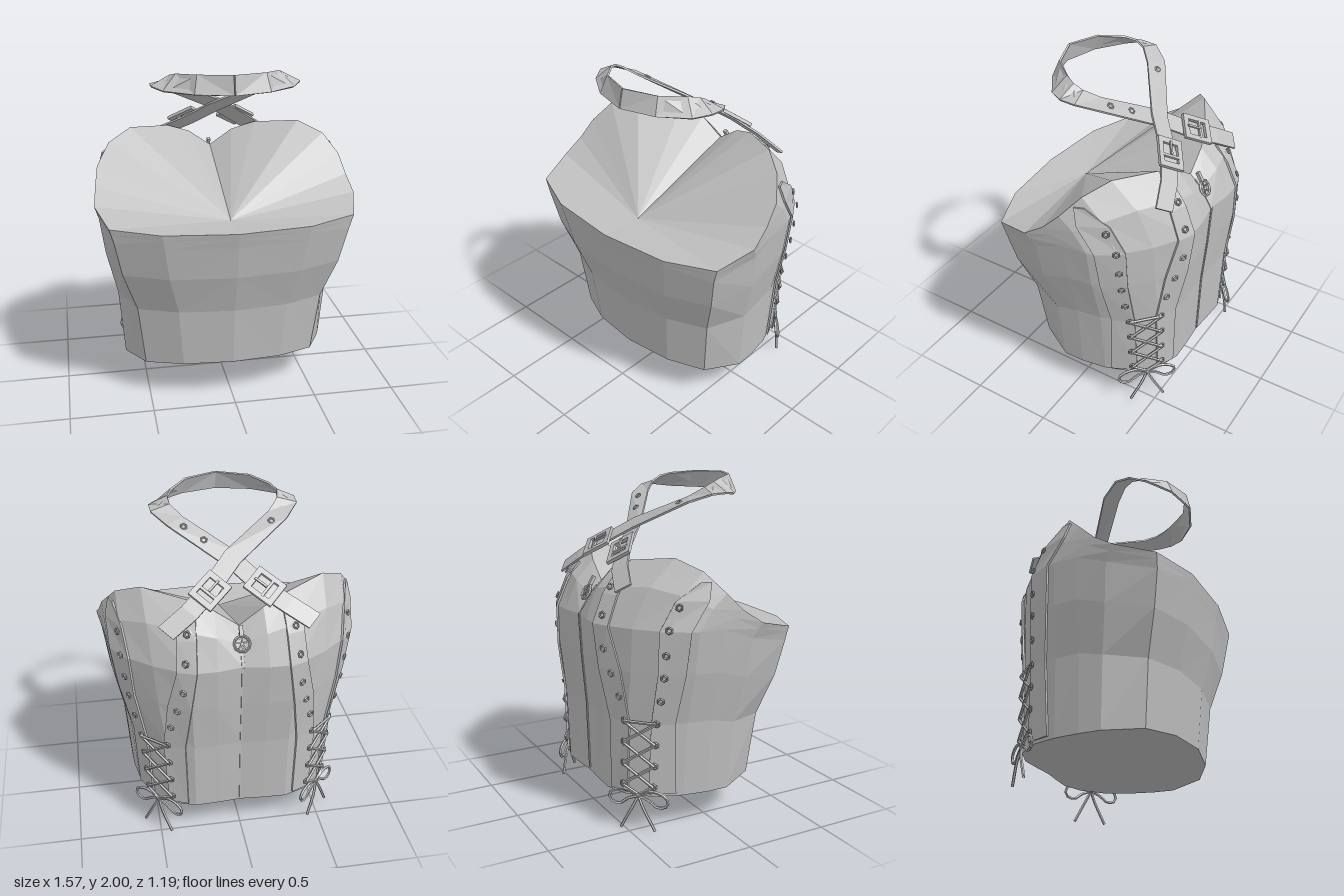
import * as THREE from 'three';
import { mergeGeometries } from 'three/addons/utils/BufferGeometryUtils.js';

const V = (x, y, z) => new THREE.Vector3(x, y, z);
const cloth = new THREE.MeshStandardMaterial({ color: 0xc0c0c0, flatShading: true, side: THREE.DoubleSide });
cloth.name = 'grey cloth';

// Half outlines of the bodice, from the middle of the back round to the middle of the front
const rim = [[0, 1.39, -.42], [.14, 1.49, -.41], [.28, 1.545, -.36], [.53, 1.578, -.22], [.67, 1.515, -.12],
  [.75, 1.4, -.02], [.77, 1.3, .08], [.785, 1.22, .2], [.715, 1.16, .43], [.43, 1.15, .55], [0, 1.145, .59]]
  .map(p => V(...p));
const bust = [[0, -.565], [.15, -.59], [.3, -.59], [.5, -.47], [.66, -.33], [.735, -.18], [.752, -.03],
  [.76, .15], [.69, .425], [.415, .535], [0, .57]].map(([x, z], i) => V(x, Math.min(1.2, rim[i].y - .09), z));
const foot = [[0, -.515], [.14, -.525], [.28, -.53], [.42, -.48], [.54, -.36], [.6, -.2], [.625, -.05],
  [.63, .08], [.52, .29], [.3, .39], [0, .43]].map(([x, z]) => V(x, .2 + .27 * Math.max(0, z) ** 2, z));

// Rings between them: narrow waist, full chest, rounded shoulder
const between = (height, width) => foot.map((f, i) =>
  f.clone().lerp(bust[i], width).setY(THREE.MathUtils.lerp(f.y, bust[i].y, height)));
const shoulder = bust.map((b, i) =>
  b.clone().lerp(rim[i], .6).add(V(0, 0, -.18 * (rim[i].y - b.y - .09))));
const rings = [foot, between(.45, .25), between(.75, .75), bust, shoulder, rim];

function fromTriangles(points) {
  const g = new THREE.BufferGeometry().setFromPoints(points);
  g.computeVertexNormals();
  return g;
}
const quad = (a, b, c, d) => [a, b, c, a, c, d];

// Mirror a geometry across x = 0, keeping its faces outward
function mirrored(geo) {
  const p = geo.attributes.position, pts = [];
  for (let i = 0; i < p.count; i += 3)
    for (const k of [0, 2, 1]) pts.push(V(-p.getX(i + k), p.getY(i + k), p.getZ(i + k)));
  return fromTriangles(pts);
}
function plain(geo) {
  const g = geo.index ? geo.toNonIndexed() : geo;
  g.deleteAttribute('uv');
  g.clearGroups();
  return g;
}
const merge = list => mergeGeometries(list.map(plain));

// Point on the bodice at column u and height y
function onBody(u, y) {
  const c = Math.min(9, Math.floor(u));
  const col = rings.map(r => r[c].clone().lerp(r[c + 1], u - c));
  let k = 0;
  while (k < col.length - 2 && col[k + 1].y < y) k++;
  return col[k].clone().lerp(col[k + 1], (y - col[k].y) / (col[k + 1].y - col[k].y));
}
function normalAt(u, y) {
  const e = .05;
  const du = u === 0 ? V(1, 0, 0) : onBody(u + e, y).sub(onBody(Math.max(0, u - e), y));
  return onBody(u, y + e).sub(onBody(u, y - e)).cross(du).normalize();
}
const above = (u, y, h) => onBody(u, y).addScaledVector(normalAt(u, y), h);

// Thick band between two edge lines
function band(a, b, t) {
  const n = a.length, mid = a.map((p, i) => p.clone().add(b[i]).multiplyScalar(.5));
  const sec = a.map((p, i) => {
    const dir = mid[Math.min(n - 1, i + 1)].clone().sub(mid[Math.max(0, i - 1)]);
    const up = b[i].clone().sub(p).cross(dir).setLength(t);
    return [p, b[i], b[i].clone().add(up), p.clone().add(up)];
  });
  const tri = [...quad(...sec[0]), ...quad(...[...sec[n - 1]].reverse())];
  for (let i = 0; i < n - 1; i++)
    for (let k = 0; k < 4; k++) {
      const m = (k + 1) % 4;
      tri.push(...quad(sec[i][k], sec[i + 1][k], sec[i + 1][m], sec[i][m]));
    }
  return fromTriangles(tri);
}
// Band lying on the bodice, rows of [y, low column, high column] from the top down
const bodyBand = (rows, h, t) => band(rows.map(r => above(r[1], r[0], h)), rows.map(r => above(r[2], r[0], h)), t);

// Put a geometry at a point, its z axis along n and its x axis close to dir
function place(geo, pos, n, dir) {
  const z = n.clone().normalize(), y = z.clone().cross(dir).normalize(), x = y.clone().cross(z);
  return geo.applyMatrix4(new THREE.Matrix4().makeBasis(x, y, z).setPosition(pos));
}
const eyelet = () => new THREE.TorusGeometry(.017, .006, 4, 6);
const cord = pts => new THREE.TubeGeometry(
  pts.length === 2 ? new THREE.LineCurve3(...pts) : new THREE.CatmullRomCurve3(pts), pts.length === 2 ? 1 : 14, .009, 5);

export function createModel() {
  const model = new THREE.Group();
  model.name = 'bodice';
  const add = (name, geo) => {
    const m = new THREE.Mesh(geo, cloth);
    m.name = name;
    model.add(m);
  };
  const addPair = (name, geo) => {
    const half = plain(geo);
    add(name + 'Left', half);
    add(name + 'Right', mirrored(half));
  };

  // Bodice wall, sunken top and flat bottom
  const wall = [], top = [], base = [];
  for (let c = 0; c < 10; c++) {
    for (let r = 0; r < 5; r++)
      wall.push(...quad(rings[r][c], rings[r + 1][c], rings[r + 1][c + 1], rings[r][c + 1]));
    top.push(rim[c + 1], rim[c], V(0, 1.13, .32));
    base.push(foot[c], foot[c + 1], V(0, .215, 0));
  }
  addPair('wall', fromTriangles(wall));
  addPair('innerTop', fromTriangles(top));
  addPair('base', fromTriangles(base));

  // Raised strips on both sides of each lacing
  addPair('sideStrip', bodyBand([[1.46, 4.15, 4.4], [1.36, 3.85, 4.75], [1.2, 3.75, 4.75],
    [.95, 3.8, 4.7], [.65, 3.8, 4.6], [.22, 3.8, 4.75]], .003, .012));
  addPair('backStrip', bodyBand([[1.46, 1.75, 2.3], [1.36, 1.75, 2.3], [1.2, 1.75, 2.35],
    [.95, 2, 2.7], [.65, 2.3, 3.1], [.22, 2.3, 3.1]], .003, .012));

  // Eyelets along the strips
  const holes = [[4.02, 1.33], [4, 1.21], [4, 1.07], [4, .94], [4, .8],
    [2.05, 1.4], [2.1, 1.25], [2.2, 1.07], [2.42, .93], [2.7, .8]];
  const rows = [.66, .53, .4, .27];
  for (const y of rows) holes.push([2.95, y], [3.98, y]);
  addPair('eyelets', merge(holes.map(([u, y]) =>
    place(eyelet(), above(u, y, .018), normalAt(u, y), V(0, 1, 0)))));

  // Crossed laces
  const L = y => above(2.95, y, .025), R = y => above(3.98, y, .025);
  const laces = [cord([L(.66), R(.66)])];
  for (let i = 0; i < 3; i++)
    laces.push(cord([L(rows[i]), R(rows[i + 1])]), cord([R(rows[i]), L(rows[i + 1])]));
  laces.push(cord([L(.27), above(3.5, .22, .03)]), cord([R(.27), above(3.5, .22, .03)]));
  addPair('laces', merge(laces));

  // Bow with two loops and two tails
  const knot = above(3.5, .215, .03), side = V(.72, 0, .69), out = V(.69, 0, -.72);
  const at = (s, y, o = 0) => knot.clone().addScaledVector(side, s).addScaledVector(out, o).setY(y);
  const bow = [new THREE.IcosahedronGeometry(.018, 0).translate(knot.x, knot.y, knot.z)];
  for (const s of [-1, 1])
    bow.push(cord([at(0, .215), at(s * .09, .245), at(s * .17, .215), at(s * .175, .17), at(s * .12, .15), at(s * .06, .19), at(0, .21)]),
      cord([at(0, .21), at(s * .035, .14, .012), at(s * .105, .008, .012)]));
  addPair('bow', merge(bow));

  // Back fastening with ring pull
  addPair('backSeam', bodyBand([1.36, 1.25, 1.2, .95, .65, .22].map(y => [y, 0, .065]), .001, .005));
  const pull = [new THREE.TorusGeometry(.045, .008, 4, 10), new THREE.BoxGeometry(.022, .06, .02).translate(0, .075, 0)];
  for (let i = 0; i < 5; i++)
    pull.push(new THREE.BoxGeometry(.04, .008, .008).translate(.02, 0, 0).rotateZ(Math.PI * (.5 + i * .4)));
  add('ringPull', place(merge(pull), above(0, 1.31, .025), V(0, .5, -.87), V(-1, 0, 0)));

  // Neck strap halves: inner and outer edge from the front middle to the opposite back
  const wide = V(.038, -.026, -.03);
  const strapMids = [[0, 1.69, -.2], [-.15, 1.575, -.345], [-.28, 1.5, -.43], [-.42, 1.41, -.48]].map(p => V(...p));
  const strap = lift => {
    const inner = [[0, 2, .4], [.19, 1.993, .33], [.29, 1.975, .21], [.32, 1.955, .15], [.315, 1.925, .1], [.25, 1.87, .03]].map(p => V(...p));
    const outer = [[0, 1.89, .425], [.21, 1.89, .37], [.37, 1.89, .26], [.43, 1.9, .17], [.43, 1.895, .08], [.35, 1.85, -.03]].map(p => V(...p));
    strapMids.forEach((m, i) => {
      const c = m.clone().add(V(0, i < 2 ? lift : 0, 0));
      inner.push(c.clone().sub(wide));
      outer.push(c.clone().add(wide));
    });
    return band(inner, outer, .012);
  };
  add('strapLower', strap(0));
  add('strapUpper', mirrored(strap(.018)));

  // Strap eyelets
  const up = V(0, .75, -.66), run = V(-.7, -.45, -.5);
  const strapHoles = [.15, .5].map(t =>
    place(eyelet(), V(.3, 1.86, 0).lerp(strapMids[0], t).addScaledVector(up, .016), up, run));
  addPair('strapEyelets', merge(strapHoles));

  // Buckles: square frame, bar and prong
  const rectangle = (x, y) => [[-x, -y], [x, -y], [x, y], [-x, y]].map(p => new THREE.Vector2(...p));
  const frame = new THREE.Shape(rectangle(.095, .08));
  frame.holes.push(new THREE.Path(rectangle(.06, .05)));
  const buckle = merge([
    new THREE.ExtrudeGeometry(frame, { depth: .02, bevelEnabled: false }),
    new THREE.BoxGeometry(.016, .12, .014).translate(.02, 0, .014),
    new THREE.BoxGeometry(.085, .012, .012).translate(-.03, 0, .024),
  ]);
  addPair('buckle', place(buckle, strapMids[1].clone().add(V(-.005, .012, -.015)), up, run));
  return model;
}
